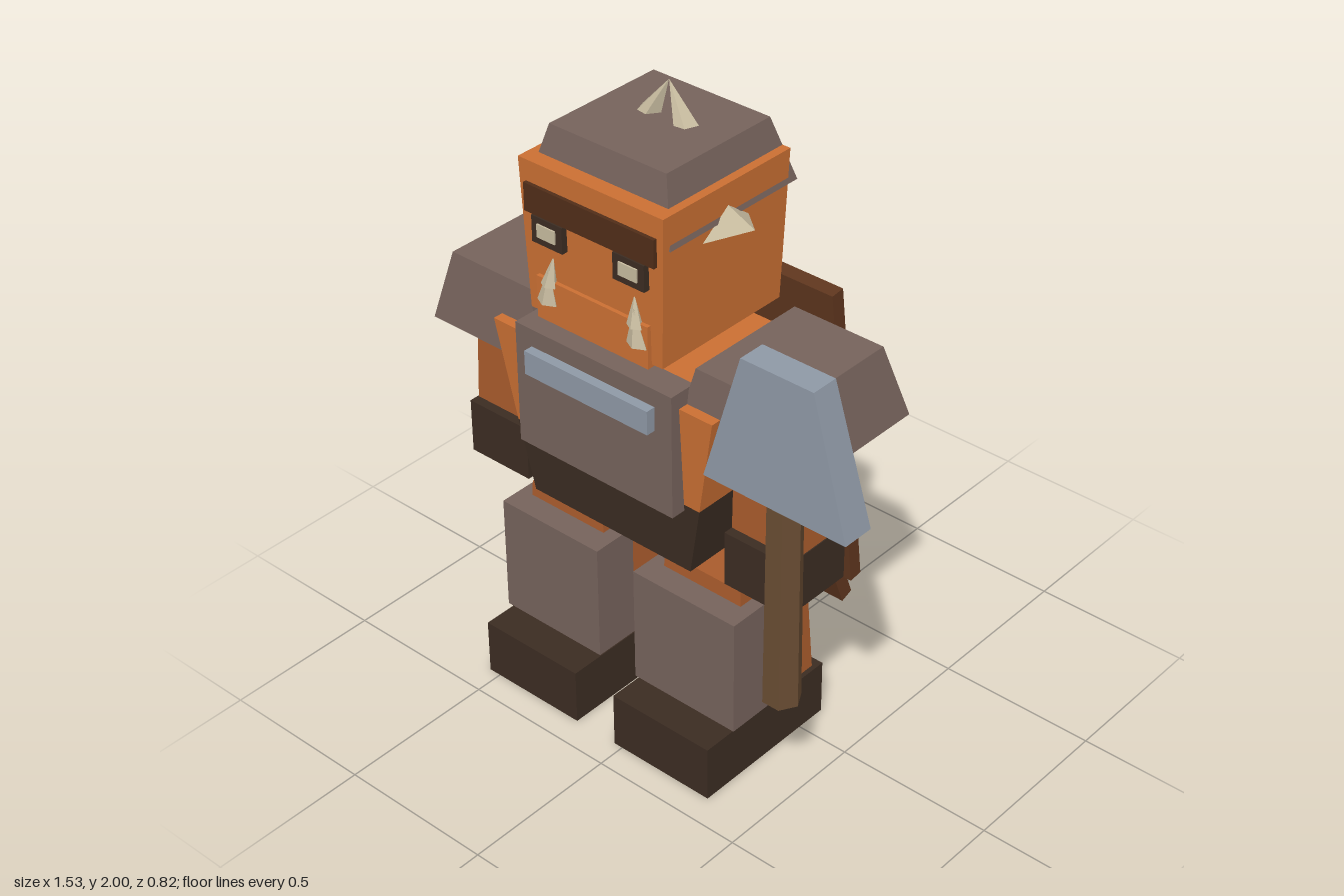
import * as THREE from 'three';
import { ConvexGeometry } from 'three/addons/geometries/ConvexGeometry.js';

const paint = (name, color) => {
  const m = new THREE.MeshStandardMaterial({ color });
  m.name = name;
  return m;
};

export function createModel() {
  const skin = paint('bright skin', 0xca6f33);
  const limbSkin = paint('limb skin', 0xa85b2c);
  const plate = paint('armour plate', 0x75625b);
  const leather = paint('dark leather', 0x3b2c22);
  const cloth = paint('cape brown', 0x5f361e);
  const browBrown = paint('brow brown', 0x502d18);
  const steel = paint('steel', 0x8e98a5);
  const wood = paint('handle wood', 0x684c32);
  const bone = paint('bone', 0xc6ba9e);

  const model = new THREE.Group();
  const body = new THREE.Group();
  body.name = 'body';
  body.position.x = -0.105; // the held axe shifts the figure off centre
  model.add(body);

  const add = (name, geometry, material) => {
    const mesh = new THREE.Mesh(geometry, material);
    mesh.name = name;
    body.add(mesh);
    return mesh;
  };

  // Block between two levels; each end is [x0, x1, z0, z1]
  const block = (name, material, y0, y1, base, top = base) => {
    const g = new THREE.BoxGeometry(1, 1, 1);
    const p = g.attributes.position;
    for (let i = 0; i < p.count; i++) {
      const up = p.getY(i) > 0;
      const r = up ? top : base;
      p.setXYZ(i, p.getX(i) > 0 ? r[1] : r[0], up ? y1 : y0, p.getZ(i) > 0 ? r[3] : r[2]);
    }
    g.computeVertexNormals();
    return add(name, g, material);
  };

  // Faceted spike from a ring of base points to a tip
  const spike = (name, ring, tip) =>
    add(name, new ConvexGeometry([...ring, tip].map((q) => new THREE.Vector3(...q))), bone);

  // Ring of n points lying flat around a centre
  const ringAt = (x, y, z, r, n = 5, rz = r) =>
    Array.from({ length: n }, (_, i) => {
      const a = (i / n) * Math.PI * 2 + 0.3;
      return [x + Math.cos(a) * r, y, z + Math.sin(a) * rz];
    });

  // Torso and belt
  block('belt', leather, 0.69, 0.92, [-0.295, 0.295, -0.13, 0.32], [-0.34, 0.34, -0.145, 0.333]);
  block('torso', skin, 0.92, 1.24, [-0.34, 0.34, -0.145, 0.333], [-0.4, 0.4, -0.16, 0.35]);
  block('chestPlate', plate, 0.9, 1.29, [-0.285, 0.285, 0.29, 0.38]);
  block('chestBar', steel, 1.16, 1.235, [-0.225, 0.225, 0.37, 0.41]);
  block('neck', limbSkin, 1.24, 1.37, [-0.12, 0.12, 0, 0.25]);

  // Head
  block('head', skin, 1.35, 1.81, [-0.238, 0.238, -0.115, 0.36], [-0.255, 0.255, -0.13, 0.37]);
  block('jaw', skin, 1.34, 1.47, [-0.2, 0.2, 0.3, 0.375]);
  block('brow', browBrown, 1.66, 1.745, [-0.23, 0.23, 0.34, 0.38]);
  block('cap', plate, 1.705, 1.895, [-0.256, 0.256, -0.16, 0.345], [-0.205, 0.205, -0.105, 0.3]);

  for (const s of [1, -1]) {
    const side = s > 0 ? 'left' : 'right';
    // Block given for the left side and mirrored for the right
    const pair = (name, material, y0, y1, base, top = base) => {
      const flip = ([a, b, c, d]) => (s > 0 ? [a, b, c, d] : [-b, -a, c, d]);
      return block(side + name, material, y0, y1, flip(base), flip(top));
    };
    const mx = (pts) => pts.map(([x, y, z]) => [s * x, y, z]);

    // Legs
    pair('Boot', leather, 0, 0.18, [0.075, 0.435, -0.1, 0.41]);
    pair('Leg', limbSkin, 0.18, 0.62, [0.095, 0.42, -0.07, 0.25], [0.12, 0.4, -0.05, 0.23]);
    pair('KneePlate', plate, 0.19, 0.57, [0.07, 0.445, 0.16, 0.31]);

    // Arms
    pair('Arm', limbSkin, 0.8, 1.2, [0.375, 0.6, 0.02, 0.24], [0.38, 0.585, 0.02, 0.235]);
    pair('Glove', leather, 0.66, 0.835, [0.375, 0.602, 0.03, 0.27]);
    pair('Shoulder', plate, 1.13, 1.35, [0.25, 0.66, -0.16, 0.335], [0.3, 0.605, -0.105, 0.3]);

    // Eyes
    pair('EyeSocket', leather, 1.58, 1.66, [0.09, 0.2, 0.34, 0.385]);
    pair('Eye', bone, 1.602, 1.642, [0.113, 0.178, 0.38, 0.39]);

    // Side horns
    spike(side + 'Horn', mx([[0.235, 1.665, 0.235], [0.235, 1.755, 0.12],
      [0.235, 1.68, 0.02], [0.235, 1.622, 0.02]]), [s * 0.33, 1.69, 0.1]);

    // Tusks, each a pair of stacked spikes
    spike(side + 'TuskBase', mx(ringAt(0.162, 1.4, 0.37, 0.037, 5, 0.026)), [s * 0.152, 1.51, 0.375]);
    spike(side + 'TuskTip', mx(ringAt(0.155, 1.455, 0.372, 0.028, 5, 0.02)), [s * 0.145, 1.545, 0.362]);

    // Crest spikes leaning together
    const crest = [[0.1, 1.893, 0.055], [0.085, 1.893, 0.095], [0.05, 1.893, 0.1], [0.025, 1.893, 0.065]];
    spike(side + 'CrestSpike', mx(crest), [0, 2, 0.06]);
  }

  // Cape panel with a flared tail
  const panel = (name, w, h, y, z, tilt) => {
    const m = add(name, new THREE.BoxGeometry(w, h, 0.045), cloth);
    m.position.set(0, y, z);
    m.rotation.x = tilt;
  };
  panel('cape', 0.835, 1.04, 0.908, -0.205, 0.121);
  panel('capeTail', 0.59, 0.345, 0.347, -0.327, 0.365);

  // Axe held in the left hand
  const handle = new THREE.CylinderGeometry(0.052, 0.057, 0.75, 6);
  handle.rotateY(Math.PI / 6);
  const h = add('axeHandle', handle.toNonIndexed(), wood);
  h.geometry.computeVertexNormals();
  h.position.set(0.625, 0.797, 0.318);
  block('axeBlade', steel, 1.085, 1.5, [0.385, 0.865, 0.265, 0.368], [0.505, 0.745, 0.275, 0.362]);

  return model;
}
